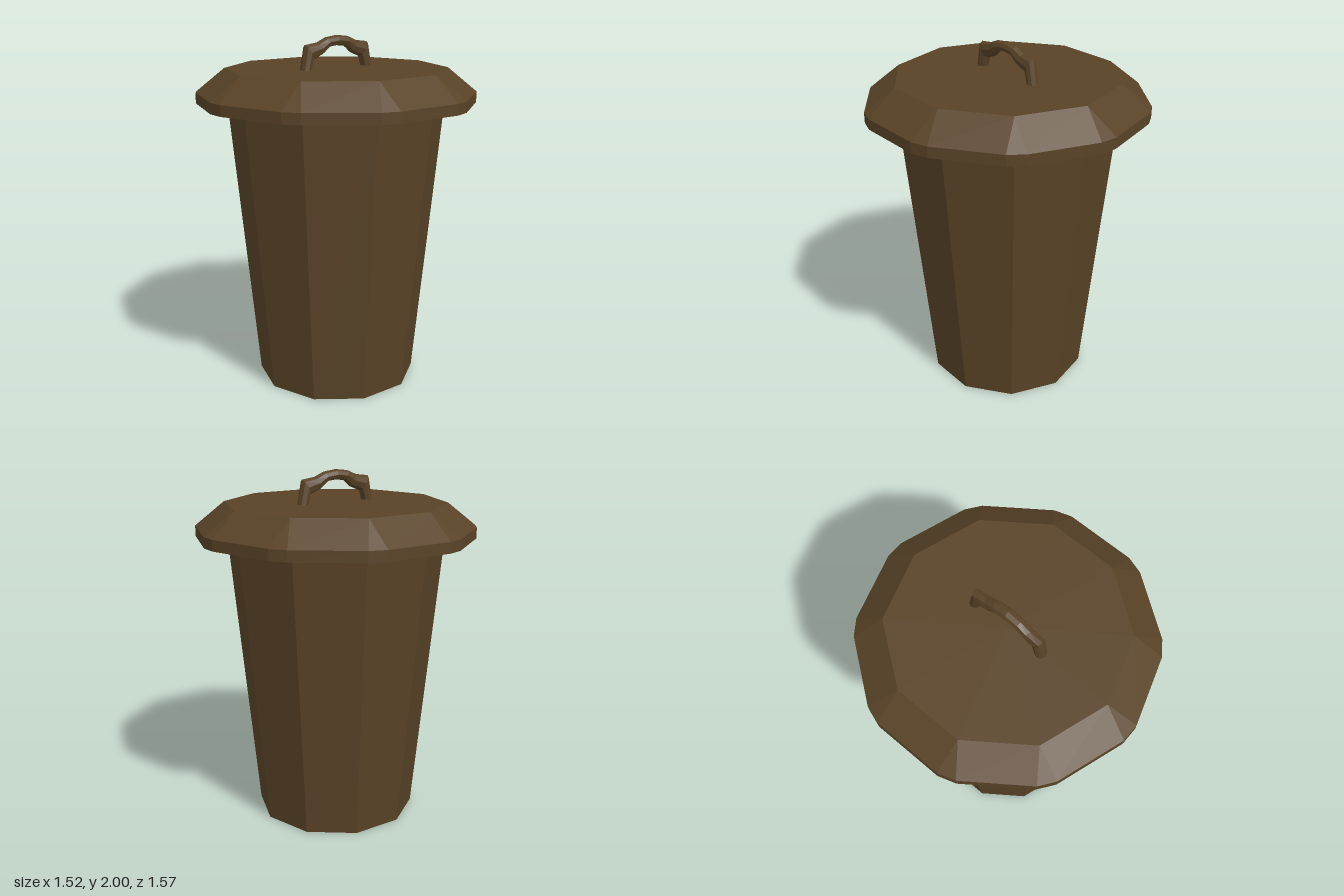
import * as THREE from 'three';

const SIDES = 10;

// Skins a list of equal-length closed rings, skipping collapsed triangles
function loft(rings, capStart, capEnd) {
  const pos = [];
  const tri = (a, b, c) => {
    if (a.distanceTo(b) < 1e-5 || b.distanceTo(c) < 1e-5 || a.distanceTo(c) < 1e-5) return;
    for (const p of [a, b, c]) pos.push(p.x, p.y, p.z);
  };
  const n = rings[0].length;
  for (let r = 0; r + 1 < rings.length; r++) {
    for (let i = 0; i < n; i++) {
      const j = (i + 1) % n, lo = rings[r], hi = rings[r + 1];
      tri(lo[i], lo[j], hi[j]);
      tri(lo[i], hi[j], hi[i]);
    }
  }
  const cap = (ring, flip) => {
    const mid = ring.reduce((s, p) => s.add(p), new THREE.Vector3()).divideScalar(n);
    ring.forEach((p, i) => {
      const q = ring[(i + 1) % n];
      if (flip) tri(mid, q, p); else tri(mid, p, q);
    });
  };
  if (capStart) cap(rings[0], true);
  if (capEnd) cap(rings[rings.length - 1], false);
  const geo = new THREE.BufferGeometry();
  geo.setAttribute('position', new THREE.Float32BufferAttribute(pos, 3));
  geo.computeVertexNormals();
  return geo;
}

// Ten-sided ring whose corners are each split in two by a small angle
function lidRing(radius, y, split) {
  const ring = [];
  for (let k = 0; k < SIDES; k++) {
    for (const s of [-split, split]) {
      const a = (k * 2 * Math.PI) / SIDES + s;
      ring.push(new THREE.Vector3(Math.sin(a) * radius, y, Math.cos(a) * radius));
    }
  }
  return ring;
}

export function createModel() {
  const group = new THREE.Group();
  const brown = new THREE.MeshStandardMaterial({ color: 0x594327, flatShading: true, side: THREE.DoubleSide });
  brown.name = 'dark brown';
  const add = (name, geo) => {
    const mesh = new THREE.Mesh(geo, brown);
    mesh.name = name;
    group.add(mesh);
    return mesh;
  };

  // Tapered bin body, running up inside the hollow lid
  add('body', new THREE.CylinderGeometry(0.628, 0.46, 1.77, SIDES)).position.y = 0.885;

  // Hollow lid: short upright rim with cut corners, slope, flat top
  const cut = 0.064;
  add('lid', loft([
    lidRing(0.786, 1.63, cut),
    lidRing(0.786, 1.69, cut),
    lidRing(0.626, 1.82, 0),
  ], false, true));

  // Arched handle: [outer z, outer y, inner z, inner y] from foot to crown
  const half = [
    [0.243, 1.815, 0.183, 1.815],
    [0.217, 1.955, 0.164, 1.872],
    [0.138, 1.965, 0.095, 1.9],
    [0.079, 1.99, 0.053, 1.937],
    [0, 2.0, 0, 1.943],
  ];
  const mirrored = half.slice(0, -1).reverse().map(([a, b, c, d]) => [-a, b, -c, d]);
  const rings = [...half, ...mirrored].map(([oz, oy, iz, iy]) =>
    Array.from({ length: 8 }, (_, i) => {
      const a = (i * Math.PI) / 4, t = Math.cos(a) / 2;
      return new THREE.Vector3(
        Math.sin(a) * 0.033,
        (oy + iy) / 2 + (oy - iy) * t,
        (oz + iz) / 2 + (oz - iz) * t,
      );
    }));
  add('handle', loft(rings, true, true));

  return group;
}
